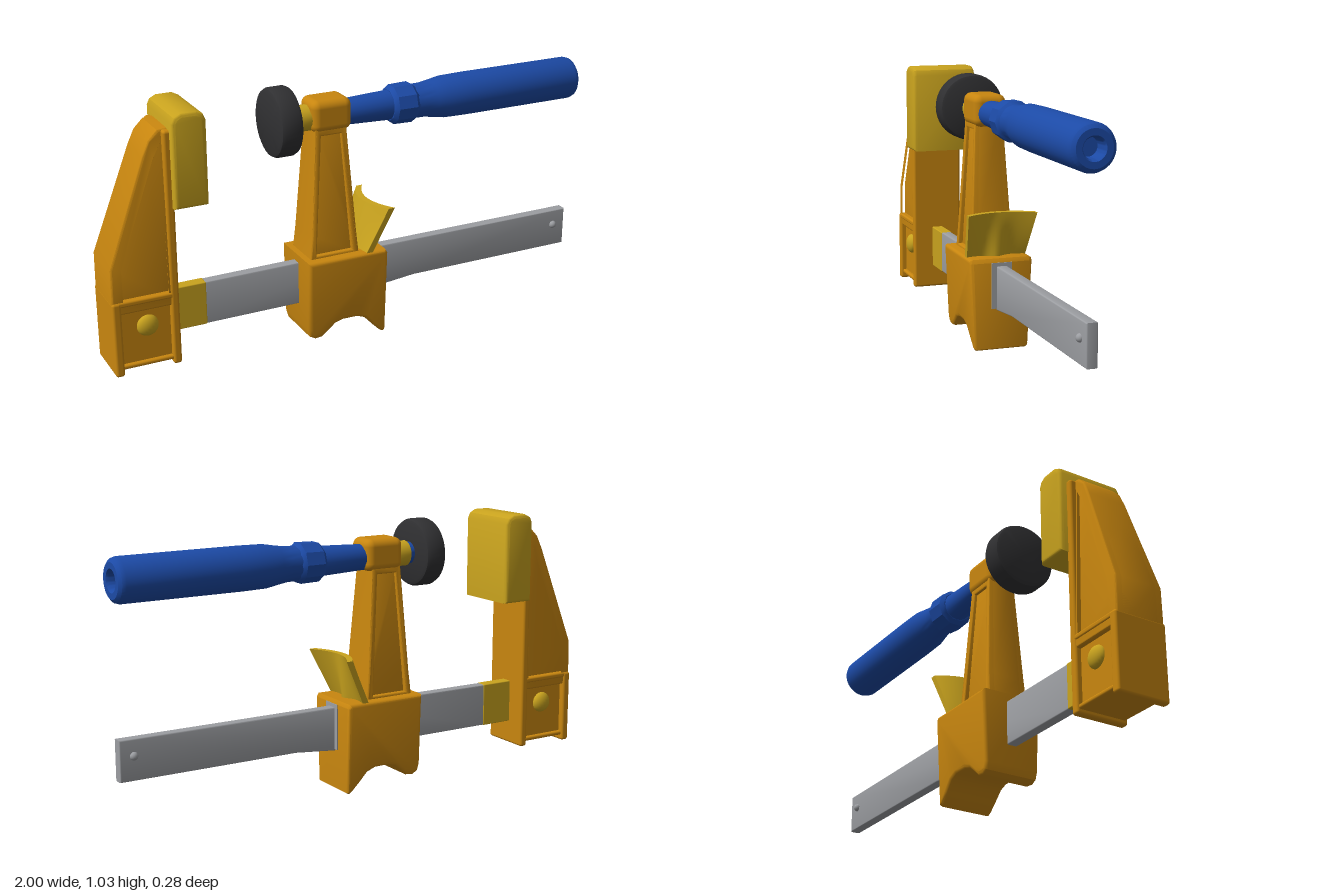
import * as THREE from 'three';
import { toCreasedNormals } from 'three/addons/utils/BufferGeometryUtils.js';
import { RoundedBoxGeometry } from 'three/addons/geometries/RoundedBoxGeometry.js';

const mat = (color) => new THREE.MeshStandardMaterial({ color });
const ORANGE = mat(0xc8860f), YELLOW = mat(0xc9a31e), BLUE = mat(0x1c4aa6);
const BLACK = mat(0x303032), STEEL = mat(0x9c9ea2);

const toPoints = (pts) => pts.map(([x, y]) => new THREE.Vector2(x, y));

// Side profile extruded symmetrically in z; widthAt(y) scales the half width
function profile(pts, half, bevel, { hole, widthAt } = {}) {
  const shape = new THREE.Shape(toPoints(pts));
  if (hole) shape.holes.push(new THREE.Path(toPoints(hole)));
  const depth = 2 * (half - bevel);
  const geo = new THREE.ExtrudeGeometry(shape, {
    depth, bevelThickness: bevel, bevelSize: bevel, bevelOffset: -bevel, bevelSegments: 3, curveSegments: 8,
  });
  geo.translate(0, 0, -depth / 2);
  if (widthAt) {
    const p = geo.attributes.position;
    for (let i = 0; i < p.count; i++) p.setZ(i, p.getZ(i) * widthAt(p.getY(i)));
  }
  return toCreasedNormals(geo, 0.6);
}

// Lathe along the x axis from [x, radius] pairs, ordered by rising x
function turned(pts, sides = 40) {
  const geo = new THREE.LatheGeometry(pts.map(([x, r]) => new THREE.Vector2(r, x)), sides);
  geo.rotateZ(-Math.PI / 2);
  return toCreasedNormals(geo, 0.6);
}

export function createModel() {
  const model = new THREE.Group();
  const add = (parent, name, geo, material, x = 0, y = 0, z = 0) => {
    const mesh = new THREE.Mesh(geo, material);
    mesh.name = name;
    mesh.position.set(x, y, z);
    parent.add(mesh);
    return mesh;
  };
  const group = (name) => {
    const g = new THREE.Group();
    g.name = name;
    model.add(g);
    return g;
  };
  const box = (w, h, d, r) => new RoundedBoxGeometry(w, h, d, 3, r);

  // Fixed jaw: recessed web inside a raised rim, on a framed foot
  const fixed = group('fixedJaw');
  const jawOutline = [[-1, 0.3], [-0.998, 0.48], [-0.85, 0.88], [-0.825, 0.935], [-0.79, 0.97], [-0.75, 0.975], [-0.75, 0.3]];
  const jawHole = [[-0.965, 0.33], [-0.965, 0.475], [-0.82, 0.87], [-0.78, 0.93], [-0.775, 0.33]];
  const jawTaper = (y) => 1 - 0.2 * THREE.MathUtils.clamp((y - 0.45) / 0.5, 0, 1);
  add(fixed, 'jawRim', profile(jawOutline, 0.1, 0.008, { hole: jawHole, widthAt: jawTaper }), ORANGE);
  add(fixed, 'jawWeb', profile(jawOutline, 0.08, 0.008, { widthAt: jawTaper }), ORANGE);
  add(fixed, 'jawFaceFlange', box(0.032, 0.91, 0.21, 0.01), ORANGE, -0.761, 0.515);
  add(fixed, 'footRearFlange', box(0.034, 0.295, 0.212, 0.01), ORANGE, -0.983, 0.2025);
  add(fixed, 'footWeb', box(0.23, 0.26, 0.165, 0.008), ORANGE, -0.87, 0.21);
  add(fixed, 'footTopFlange', box(0.25, 0.022, 0.208, 0.008), ORANGE, -0.873, 0.34);
  add(fixed, 'footBottomFlange', box(0.25, 0.018, 0.195, 0.008), ORANGE, -0.873, 0.086);
  for (const s of [1, -1]) {
    const boss = add(fixed, 'jawRivet', new THREE.SphereGeometry(0.042, 20, 14), YELLOW, -0.865, 0.233, s * 0.082);
    boss.scale.z = 0.6;
  }
  // Jaw pad: square lower edge, rounded top
  const padProfile = [[-0.755, 0.68], [-0.755, 1.0], [-0.745, 1.022], [-0.72, 1.035],
    [-0.66, 1.035], [-0.635, 1.022], [-0.625, 1.0], [-0.625, 0.68]].reverse();
  add(fixed, 'jawPad', profile(padProfile, 0.135, 0.014), YELLOW);

  // Rail
  const rail = group('rail');
  add(rail, 'bar', profile([[-0.615, 0.155], [0.1, 0.157], [0.28, 0.175], [1, 0.177],
    [1, 0.333], [0.1, 0.331], [-0.615, 0.326]], 0.021, 0.005), STEEL);
  add(rail, 'barSleeve', box(0.15, 0.173, 0.046, 0.004), YELLOW, -0.685, 0.2405);
  add(rail, 'slotPlate', new THREE.BoxGeometry(0.02, 0.18, 0.082), STEEL, 0.1, 0.255);
  for (const s of [1, -1]) add(rail, 'stopPin', new THREE.SphereGeometry(0.016, 14, 10), STEEL, 0.945, 0.27, s * 0.02);

  // Sliding jaw: scalloped housing, tapered arm and screw boss
  const sliding = group('slidingJaw');
  const housing = [[-0.23, 0.36], [-0.23, 0.075], [-0.222, 0.045], [-0.2, 0.033], [-0.17, 0.036], [-0.145, 0.058],
    [-0.115, 0.083], [-0.08, 0.093], [-0.02, 0.092], [0.015, 0.078], [0.05, 0.04], [0.08, 0.01], [0.095, 0],
    [0.105, 0.006], [0.107, 0.345], [0.098, 0.36]];
  add(sliding, 'housing', profile(housing, 0.126, 0.014, {
    widthAt: (y) => 0.87 + 0.13 * THREE.MathUtils.clamp(y / 0.3, 0, 1),
  }), ORANGE);
  const armOutline = [[-0.207, 0.345], [0.0, 0.345], [-0.01, 0.45], [-0.042, 0.88], [-0.167, 0.88], [-0.196, 0.45]];
  const armHole = [[-0.18, 0.37], [-0.146, 0.84], [-0.063, 0.84], [-0.028, 0.37]];
  const armTaper = (y) => 1 - 0.33 * THREE.MathUtils.clamp((y - 0.36) / 0.5, 0, 1);
  add(sliding, 'armRim', profile(armOutline, 0.085, 0.006, { hole: armHole, widthAt: armTaper }), ORANGE);
  add(sliding, 'armWeb', profile(armOutline, 0.066, 0.006, { widthAt: armTaper }), ORANGE);
  add(sliding, 'screwBoss', box(0.164, 0.125, 0.13, 0.03), ORANGE, -0.098, 0.913);

  // Release lever: flared sheet whose outer edges curl forward
  const lever = new THREE.BoxGeometry(1, 1, 2, 1, 10, 20);
  const lp = lever.attributes.position;
  for (let i = 0; i < lp.count; i++) {
    const u = lp.getY(i) + 0.5, v = lp.getZ(i), t = lp.getX(i);
    const rib = 0.03 * Math.exp(-v * v * 12) * (1 - u);
    const x = 0.015 + 0.05 * u + (0.01 + 0.038 * u) * v * v + t * 0.026 + (t > 0 ? rib : 0);
    lp.setXYZ(i, x, 0.35 + 0.185 * u, v * (0.118 + 0.02 * u));
  }
  add(sliding, 'releaseLever', toCreasedNormals(lever, 0.7), YELLOW);

  // Clamping screw with swivel pad and handle
  const screw = group('screw');
  screw.position.y = 0.903;
  add(screw, 'swivelPad', turned([[-0.335, 0], [-0.335, 0.115], [-0.33, 0.126], [-0.318, 0.132],
    [-0.262, 0.132], [-0.25, 0.126], [-0.245, 0.115], [-0.245, 0]]), BLACK);
  add(screw, 'screwTip', turned([[-0.25, 0.043], [-0.21, 0.043]]), BLUE);
  add(screw, 'screwCollar', turned([[-0.225, 0], [-0.225, 0.05], [-0.17, 0.05]], 16), YELLOW);
  add(screw, 'handleShank', turned([[-0.03, 0.05], [0.17, 0.058]], 20), BLUE);
  add(screw, 'handleCollar', turned([[0.163, 0], [0.163, 0.062], [0.178, 0.077], [0.255, 0.079], [0.272, 0.066],
    [0.272, 0]], 10), BLUE);
  add(screw, 'handleGrip', turned([[0.26, 0.066], [0.31, 0.067], [0.35, 0.073], [0.4, 0.082], [0.5, 0.084],
    [0.975, 0.084], [0.99, 0.079], [1, 0.066], [1, 0.043], [0.99, 0.037], [0.94, 0.034], [0.94, 0]]), BLUE);

  return model;
}
